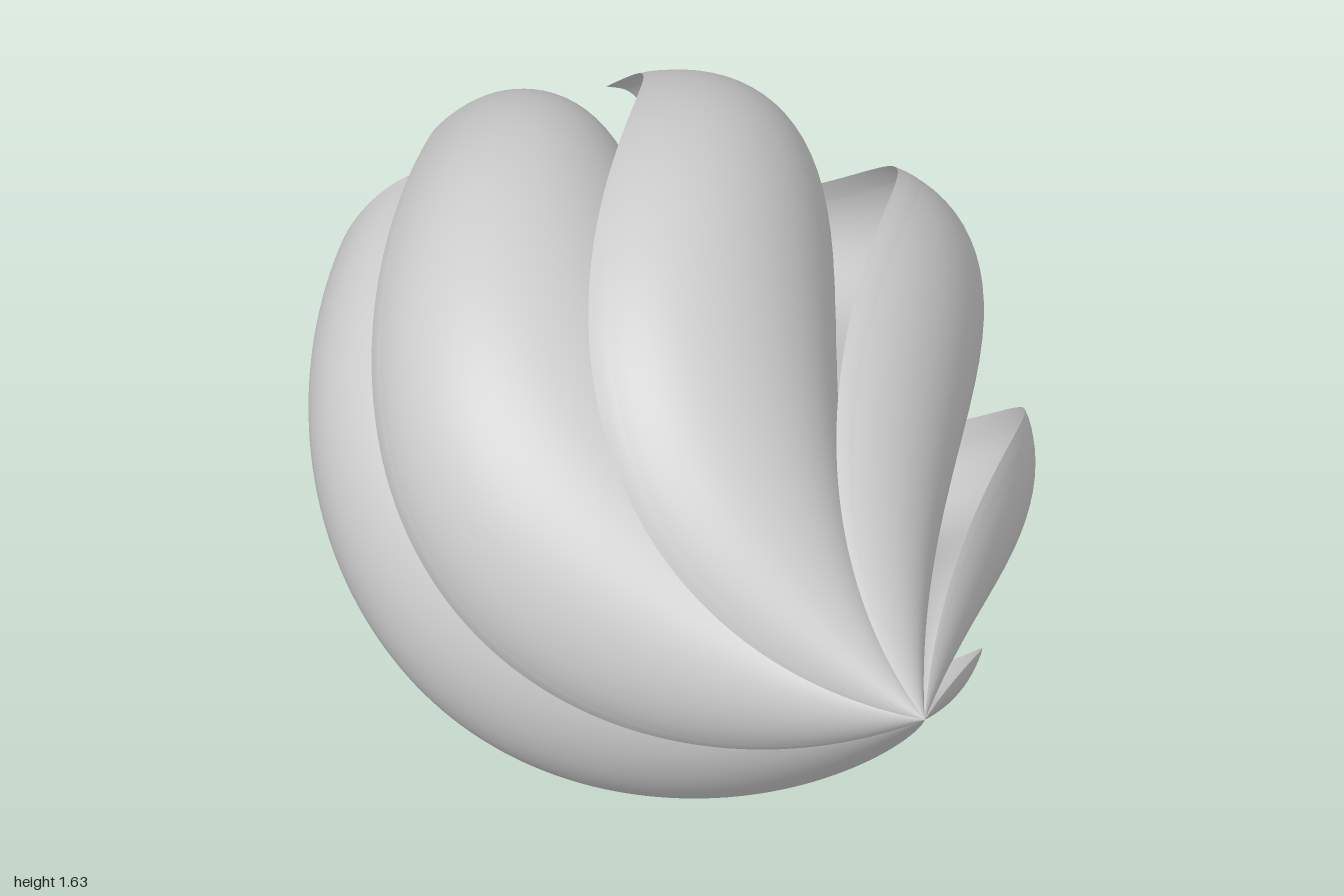
import * as THREE from 'three';

const ARMS = 6, LAYERS = 96, STEPS = 26;
const CENTRE_Y = 0.817, MAX_R = 0.817, WIDEST_Z = -0.19;
const STEP_ANGLE = (Math.PI * 2) / ARMS;

const rotate = ([x, y], a) => [
  x * Math.cos(a) - y * Math.sin(a),
  x * Math.sin(a) + y * Math.cos(a),
];

// Points on a circular arc, angles in degrees
function arc(cx, cy, r, from, to) {
  return Array.from({ length: STEPS + 1 }, (_, i) => {
    const a = THREE.MathUtils.degToRad(from + ((to - from) * i) / STEPS);
    return [cx + r * Math.cos(a), cy + r * Math.sin(a)];
  });
}

// Unit pinwheel section: round back of an arm, then the hollow up to the next tip
const back = arc(0, 0.51, 0.49, 118.1, -44.1);
const hollow = arc(-0.07, 0.68, 0.3075, -71, 121.5).map((p) => rotate(p, -STEP_ANGLE));
// Weld the ends of the hollow to the arms on both sides
hollow[0] = back[STEPS];
hollow[STEPS] = rotate(back[0], -STEP_ANGLE);

// Radius and twist of the section along the length
function radiusAt(z) {
  const t = (z - WIDEST_Z) / (1 - WIDEST_Z);
  if (t < 0) return MAX_R * (1 - 0.94 * t * t);
  const shape = 0.4 * (1 - t * t) + 0.6 * Math.cos((t * Math.PI) / 2);
  return Math.max(0.001, MAX_R * shape);
}
const twistAt = (z) => THREE.MathUtils.degToRad(60) * (z - WIDEST_Z);

function place(p, arm, z) {
  const [x, y] = rotate(p, twistAt(z) - arm * STEP_ANGLE);
  const r = radiusAt(z);
  return [x * r, CENTRE_Y + y * r, z];
}

// Twisted strip swept along the length; edges stay sharp between strips
function stripGeometry(profile, arm) {
  const positions = [], index = [];
  const row = profile.length;
  for (let j = 0; j <= LAYERS; j++) {
    const z = 1 - (2 * j) / LAYERS;
    profile.forEach((p) => positions.push(...place(p, arm, z)));
    if (j === LAYERS) break;
    for (let i = 0; i < row - 1; i++) {
      const a = j * row + i, b = a + 1, c = a + row, d = c + 1;
      index.push(a, b, c, b, d, c);
    }
  }
  const g = new THREE.BufferGeometry();
  g.setAttribute('position', new THREE.Float32BufferAttribute(positions, 3));
  g.setIndex(index);
  g.computeVertexNormals();
  return g;
}

// Flat pinwheel end facing the back
function capGeometry() {
  const outline = [];
  for (let arm = 0; arm < ARMS; arm++) {
    [...back.slice(0, -1), ...hollow.slice(0, -1)].forEach((p) => {
      const [x, y] = place(p, arm, -1);
      outline.push(new THREE.Vector2(x, y));
    });
  }
  const g = new THREE.ShapeGeometry(new THREE.Shape(outline));
  g.setIndex(Array.from(g.index.array).reverse());
  g.translate(0, 0, -1);
  g.computeVertexNormals();
  return g;
}

export function createModel() {
  const model = new THREE.Group();
  model.name = 'twistedReamer';
  const grey = new THREE.MeshStandardMaterial({ color: 0xcccccc, side: THREE.DoubleSide });
  grey.name = 'grey';

  const add = (geometry, name) => {
    const mesh = new THREE.Mesh(geometry, grey);
    mesh.name = name;
    model.add(mesh);
  };
  for (let arm = 0; arm < ARMS; arm++) {
    add(stripGeometry(back, arm), `armBack${arm + 1}`);
    add(stripGeometry(hollow, arm), `armHollow${arm + 1}`);
  }
  add(capGeometry(), 'backCap');
  return model;
}
